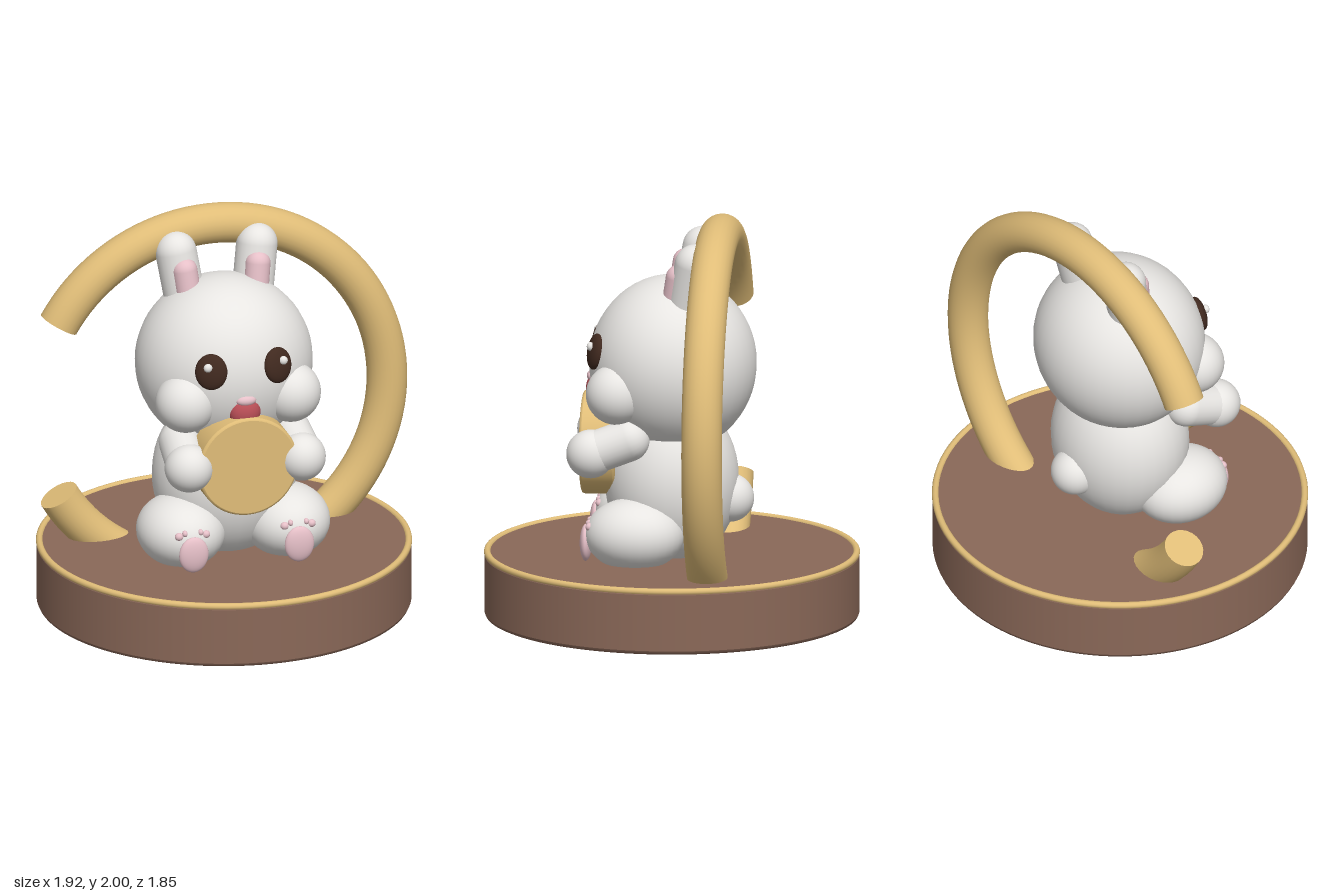
import * as THREE from 'three';

const mat = (name, color) => {
  const m = new THREE.MeshStandardMaterial({ color });
  m.name = name;
  return m;
};

export function createModel() {
  const white = mat('white fur', 0xeeece9);
  const gold = mat('gold', 0xe0bd78);
  const brown = mat('brown', 0x8a6858);
  const pink = mat('pink', 0xe6c0c8);
  const dark = mat('dark eye', 0x40291f);
  const red = mat('red mouth', 0xbc5058);

  const root = new THREE.Group();
  root.name = 'rabbitFigurine';
  const model = new THREE.Group();
  model.name = 'figurine';
  model.position.x = -0.04;
  root.add(model);

  const add = (name, geometry, material, x = 0, y = 0, z = 0) => {
    const m = new THREE.Mesh(geometry, material);
    m.name = name;
    m.position.set(x, y, z);
    model.add(m);
    return m;
  };
  const ball = (name, material, [x, y, z], [rx, ry, rz], seg = 32) => {
    const m = add(name, new THREE.SphereGeometry(1, seg, Math.round(seg * 0.75)), material, x, y, z);
    m.scale.set(rx, ry, rz);
    return m;
  };
  // Capsule running between two points
  const limb = (name, material, from, to, r) => {
    const a = new THREE.Vector3(...from), b = new THREE.Vector3(...to);
    const dir = b.clone().sub(a);
    const m = add(name, new THREE.CapsuleGeometry(r, dir.length(), 10, 24), material);
    m.position.copy(a).add(b).multiplyScalar(0.5);
    m.quaternion.setFromUnitVectors(new THREE.Vector3(0, 1, 0), dir.normalize());
    return m;
  };
  // Disc with bevelled rims; corners are doubled to stay crisp
  const disc = (r, h, bevel, seg) => {
    const p = [[0, 0], [r - bevel, 0], [r - bevel, 0], [r - bevel * 0.3, bevel * 0.3], [r, bevel], [r, bevel],
      [r, h - bevel], [r, h - bevel], [r - bevel * 0.3, h - bevel * 0.3], [r - bevel, h], [r - bevel, h], [0, h]];
    return new THREE.LatheGeometry(p.map(([x, y]) => new THREE.Vector2(x, y)), seg);
  };

  // Round base with a gold trim
  add('base', disc(0.922, 0.322, 0.02, 96), brown);
  const trim = add('baseTrim', new THREE.TorusGeometry(0.908, 0.017, 12, 96), gold, 0, 0.317, 0);
  trim.rotation.x = Math.PI / 2;

  // Open ring behind the rabbit, with closed ends
  const end = Math.PI * 5 / 6;
  add('ring', new THREE.TorusGeometry(0.9, 0.1, 24, 96, end * 2).rotateZ(-end), gold, 0, 1, -0.23);
  for (const s of [-1, 1]) {
    const cap = new THREE.CircleGeometry(0.1, 24).rotateX(-s * Math.PI / 2).translate(0.9, 0, 0).rotateZ(s * end);
    add('ringEnd', cap, gold, 0, 1, -0.23);
  }

  // Body, head and tail
  ball('body', white, [0, 0.68, 0], [0.358, 0.42, 0.33]);
  ball('head', white, [0, 1.268, -0.005], [0.44, 0.438, 0.412], 40);
  ball('tail', white, [0, 0.595, -0.285], [0.12, 0.12, 0.12]);

  // Nose and mouth
  ball('mouth', red, [0, 1.13, 0.365], [0.08, 0.085, 0.06], 24);
  ball('nose', pink, [0, 1.197, 0.39], [0.052, 0.029, 0.03], 24);

  // Held round biscuit
  const biscuit = add('biscuit', disc(0.255, 0.175, 0.012, 48), gold, 0, 0.862, 0.263);
  biscuit.rotation.x = Math.PI / 2;

  // Mirrored parts
  for (const s of [-1, 1]) {
    limb('ear', white, [s * 0.155, 1.45, -0.07], [s * 0.207, 1.81, -0.135], 0.102);
    limb('innerEar', pink, [s * 0.165, 1.55, -0.02], [s * 0.187, 1.74, -0.05], 0.063);

    const eye = ball('eye', dark, [s * 0.17, 1.354, 0.362], [0.08, 0.09, 0.035], 24);
    eye.rotation.set(-0.18, s * 0.38, 0, 'YXZ');
    ball('eyeHighlight', white, [s * 0.193, 1.385, 0.385], [0.022, 0.022, 0.018], 16);
    ball('cheek', white, [s * 0.268, 1.163, 0.25], [0.15, 0.15, 0.15]);

    // Arm and paw
    limb('arm', white, [s * 0.28, 0.935, 0.19], [s * 0.29, 0.875, 0.35], 0.105);
    ball('paw', white, [s * 0.288, 0.865, 0.375], [0.12, 0.12, 0.12]);

    // Leg with sole pad and toe pads
    ball('leg', white, [s * 0.268, 0.46, 0.16], [0.218, 0.18, 0.245]);
    ball('solePad', pink, [s * 0.27, 0.415, 0.4], [0.075, 0.092, 0.03], 24);
    for (const t of [-1, 1]) {
      ball('outerToePad', pink, [s * 0.27 + t * 0.068, 0.508, 0.376], [0.022, 0.02, 0.02], 16);
      ball('innerToePad', pink, [s * 0.27 + t * 0.04, 0.522, 0.379], [0.014, 0.016, 0.018], 16);
    }
  }
  return root;
}
